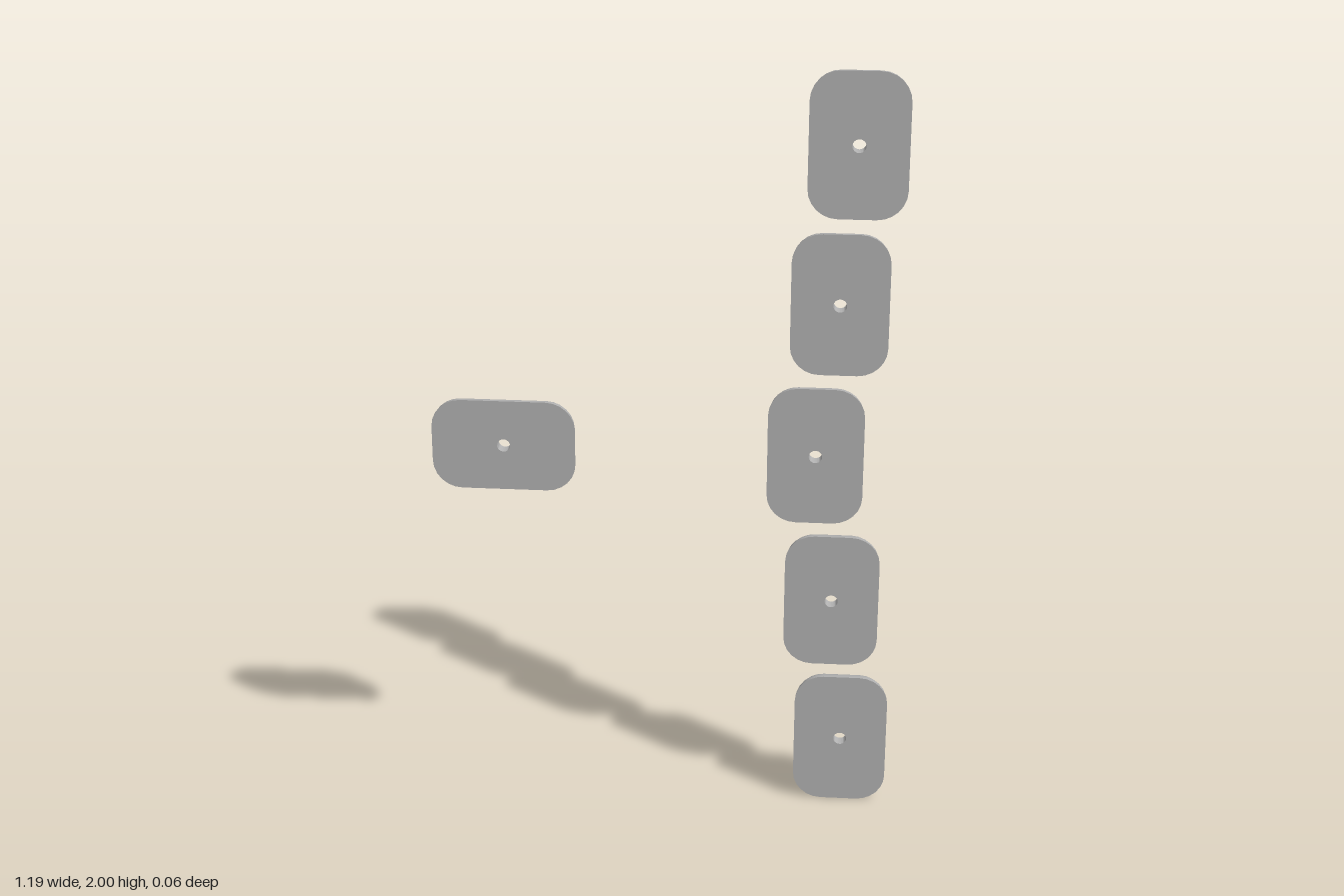
import * as THREE from 'three';
import { mergeGeometries, toCreasedNormals } from 'three/addons/utils/BufferGeometryUtils.js';

const W = 0.244, H = 0.369, CORNER = 0.075;  // pad outline
const FRONT = 0.0325, BACK = -0.0325, ROUND = 0.065;  // flat front, rounded back edge
const SCREW = 0.017, BORE = 0.038, FLOOR = 0.0;

// Rounded rectangle outline, counter-clockwise, shrunk by an inset
function outline(inset) {
  const r = CORNER - inset, pts = [], n = 6;
  const cx = W / 2 - CORNER, cy = H / 2 - CORNER;
  [[1, 1], [-1, 1], [-1, -1], [1, -1]].forEach(([sx, sy], k) => {
    for (let i = 0; i <= n; i++) {
      const a = (k + i / n) * Math.PI / 2;
      pts.push(new THREE.Vector2(sx * cx + r * Math.cos(a), sy * cy + r * Math.sin(a)));
    }
  });
  return pts;
}

// Flat face with a round hole
function face(inset, holeRadius) {
  const shape = new THREE.Shape(outline(inset));
  shape.holes.push(new THREE.Path().absarc(0, 0, holeRadius, 0, Math.PI * 2, true));
  return new THREE.ShapeGeometry(shape, 12);
}

// Rounded side wall, lofted from front edge to back edge
function wall() {
  const pos = [], index = [], steps = 6;
  let n = 0;
  for (let i = 0; i <= steps; i++) {
    const t = i / steps * Math.PI / 2;
    const ring = outline(ROUND * (1 - Math.cos(t)));
    n = ring.length;
    ring.forEach(p => pos.push(p.x, p.y, FRONT + (BACK - FRONT) * Math.sin(t)));
  }
  for (let i = 0; i < steps; i++) {
    for (let j = 0; j < n; j++) {
      const a = i * n + j, b = i * n + (j + 1) % n;
      index.push(a, a + n, b, b, a + n, b + n);
    }
  }
  const g = new THREE.BufferGeometry();
  g.setAttribute('position', new THREE.Float32BufferAttribute(pos, 3));
  g.setIndex(index);
  return g;
}

function padGeometry() {
  // Screw hole opening into a wider recess at the back
  const bore = new THREE.LatheGeometry([
    [SCREW, FRONT], [SCREW, FLOOR], [BORE, FLOOR], [BORE, BACK],
  ].map(p => new THREE.Vector2(...p)), 24).rotateX(Math.PI / 2);
  const front = face(0, SCREW).translate(0, 0, FRONT);
  const back = face(ROUND, BORE).rotateY(Math.PI).translate(0, 0, BACK);
  const parts = [wall(), front, back, bore].map(g => {
    g.deleteAttribute('uv');
    g.deleteAttribute('normal');
    return g.toNonIndexed();
  });
  return toCreasedNormals(mergeGeometries(parts), 0.6);
}

export function createModel() {
  const group = new THREE.Group();
  const grey = new THREE.MeshStandardMaterial({ color: 0xb3b3b3 });
  grey.name = 'grey';
  const geometry = padGeometry();
  const add = (name, x, y, turn = 0) => {
    const pad = new THREE.Mesh(geometry, grey);
    pad.name = name;
    pad.position.set(x, y, 0);
    pad.rotation.z = turn;
    group.add(pad);
  };
  // Curved column of five upright pads
  [0.472, 0.438, 0.387, 0.438, 0.472].forEach((x, i) =>
    add(`columnPad${i + 1}`, x, 1 + (i - 2) * 0.4078));
  // Single pad lying on its side
  add('sidePad', -0.41, 1.003, Math.PI / 2);
  return group;
}
